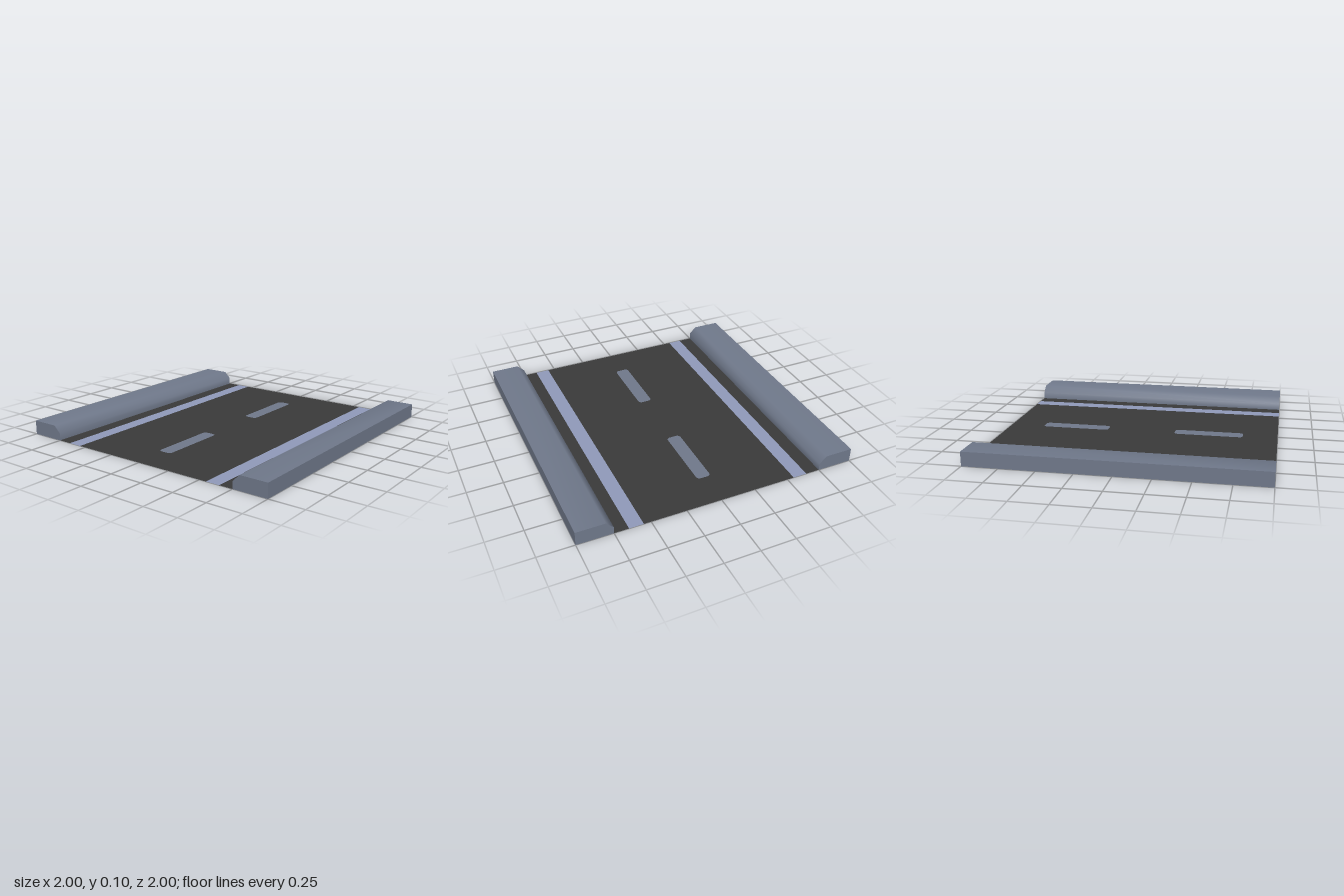
import * as THREE from 'three';

const material = (name, color) => {
  const m = new THREE.MeshStandardMaterial({ color, side: THREE.DoubleSide });
  m.name = name;
  return m;
};

function mesh(name, geometry, mat) {
  const m = new THREE.Mesh(geometry, mat);
  m.name = name;
  return m;
}

// Flat outline between two corners, with optional rounded corners
function rectangle(x0, x1, y0, y1, r = 0, Type = THREE.Shape) {
  const s = new Type();
  if (r === 0) {
    s.setFromPoints([[x0, y0], [x1, y0], [x1, y1], [x0, y1]].map(p => new THREE.Vector2(...p)));
    return s;
  }
  const q = Math.PI / 2;
  s.absarc(x1 - r, y0 + r, r, -q, 0);
  s.absarc(x1 - r, y1 - r, r, 0, q);
  s.absarc(x0 + r, y1 - r, r, q, 2 * q);
  s.absarc(x0 + r, y0 + r, r, 2 * q, 3 * q);
  s.closePath();
  return s;
}

// Lay a shape on the ground facing up
const lay = shape => new THREE.ShapeGeometry(shape, 3).rotateX(-Math.PI / 2);

// Sweep an open profile of [x, y] points along z, smooth across its folds
function sweep(profile) {
  const n = profile.length - 1;
  const g = new THREE.PlaneGeometry(n, 2, n, 1);
  const p = g.attributes.position;
  for (let i = 0; i < p.count; i++) {
    const [x, y] = profile[i % (n + 1)];
    p.setXYZ(i, x, y, -p.getY(i));
  }
  g.computeVertexNormals();
  return g;
}

export function createModel() {
  const asphalt = material('asphalt', 0x3a3a3a);
  const concrete = material('concrete', 0x6f788a);
  const paint = material('edge line paint', 0x8f99b9);

  const model = new THREE.Group();
  model.name = 'roadSegment';

  // Carriageway with the centre dashes set flush into it
  const lane = rectangle(-0.55, 0.55, -1, 1);
  for (const z of [-0.75, 0.25]) {
    lane.holes.push(rectangle(-0.05, 0.05, z, z + 0.5, 0.025, THREE.Path));
    model.add(mesh('centreDash', lay(rectangle(-0.05, 0.05, z, z + 0.5, 0.025)), concrete));
  }
  model.add(mesh('carriageway', lay(lane), asphalt));

  // Edge line, gutter and hollow pavement on each side
  const curb = [[0.75, 0], [0.75, 0.05], [0.8, 0.1], [1, 0.1]];
  const wall = [[1, 0.1], [1, 0]];
  const endShape = new THREE.Shape([...curb, wall[1]].map(p => new THREE.Vector2(...p)));

  for (const [name, turn] of [['left', 0], ['right', Math.PI]]) {
    const side = new THREE.Group();
    side.name = name + 'Side';
    side.rotation.y = turn;
    side.add(
      mesh('edgeLine', lay(rectangle(0.55, 0.65, -1, 1)), paint),
      mesh('gutter', lay(rectangle(0.65, 0.75, -1, 1)), asphalt),
      mesh('pavementTop', sweep(curb), concrete),
      mesh('pavementOuterWall', sweep(wall), concrete)
    );
    const front = new THREE.ShapeGeometry(endShape).translate(0, 0, 1);
    const back = new THREE.ShapeGeometry(endShape).scale(-1, 1, 1);
    // Reflected outline turned about y so that it faces backwards
    const idx = back.index.array;
    for (let i = 0; i < idx.length; i += 3) [idx[i], idx[i + 1]] = [idx[i + 1], idx[i]];
    back.computeVertexNormals();
    back.rotateY(Math.PI).translate(0, 0, -1);
    side.add(mesh('pavementFrontEnd', front, concrete), mesh('pavementBackEnd', back, concrete));
    model.add(side);
  }
  return model;
}
